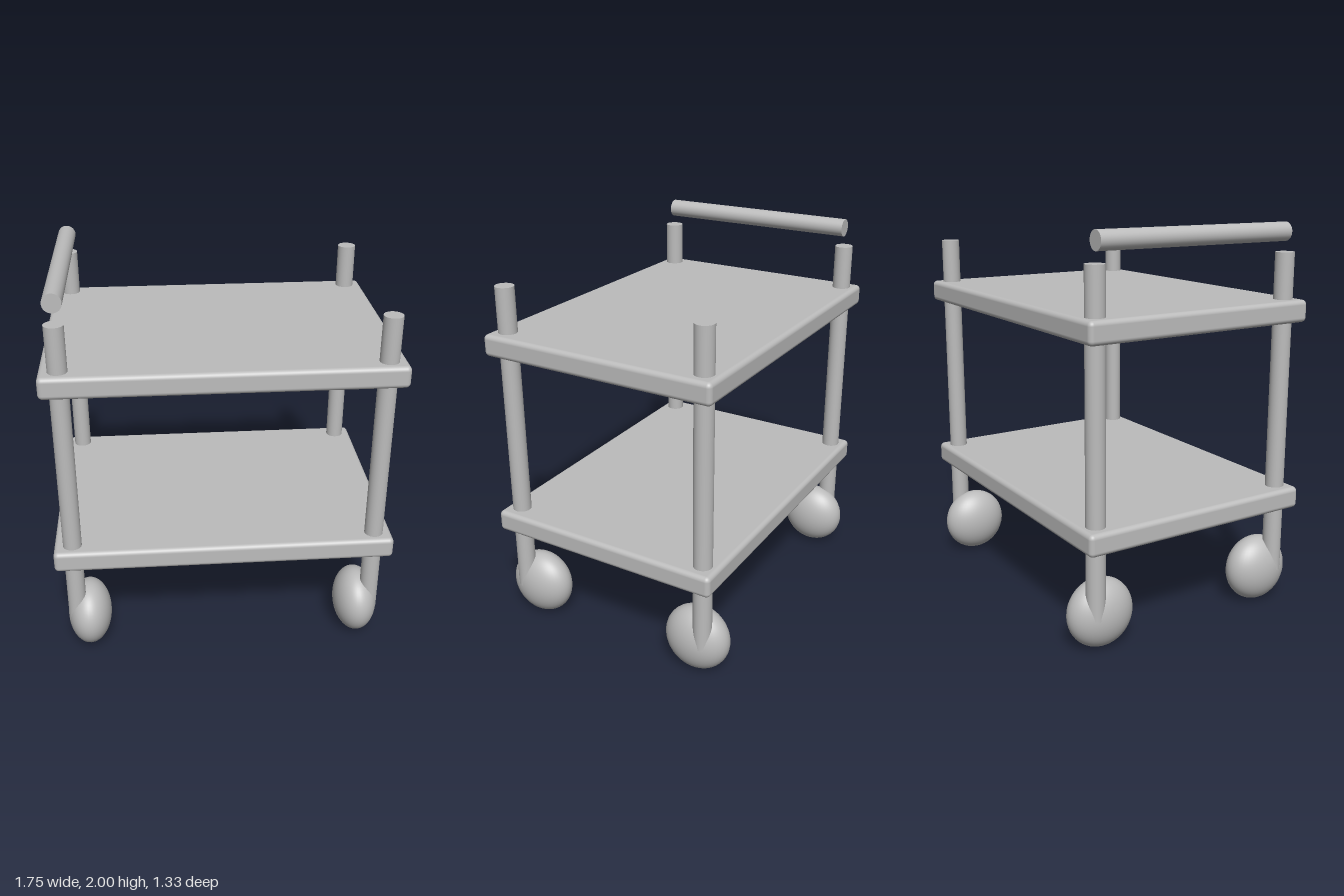
import * as THREE from 'three';
import { RoundedBoxGeometry } from 'three/addons/geometries/RoundedBoxGeometry.js';

export function createModel() {
  const cart = new THREE.Group();
  cart.name = 'serviceCart';
  const grey = new THREE.MeshStandardMaterial({ color: 0xbcbcbc });
  grey.name = 'grey';

  const add = (name, geometry, x, y, z) => {
    const mesh = new THREE.Mesh(geometry, grey);
    mesh.name = name;
    mesh.position.set(x, y, z);
    cart.add(mesh);
    return mesh;
  };

  // Two soft-edged shelves
  const shelf = new RoundedBoxGeometry(1.754, 0.112, 1.264, 4, 0.024);
  add('lowerShelf', shelf, 0, 0.589, 0);
  add('upperShelf', shelf, 0, 1.565, 0);

  // Corner posts ending inside flattened ball wheels
  const legTop = 1.854, legBottom = 0.178;
  const leg = new THREE.CylinderGeometry(0.048, 0.048, legTop - legBottom, 32);
  const wheel = new THREE.SphereGeometry(1, 40, 28).scale(0.115, 0.175, 0.175);
  for (const sx of [-1, 1]) {
    for (const sz of [-1, 1]) {
      const corner = (sz > 0 ? 'front' : 'back') + (sx > 0 ? 'Left' : 'Right');
      add(corner + 'Leg', leg, sx * 0.783, (legTop + legBottom) / 2, sz * 0.549);
      add(corner + 'Wheel', wheel, sx * 0.723, 0.177, sz * 0.49);
    }
  }

  // Push bar floating above the posts at one end
  const bar = new THREE.CylinderGeometry(0.047, 0.047, 1.092, 32).rotateX(Math.PI / 2);
  add('handle', bar, -0.783, 1.953, 0);

  return cart;
}
